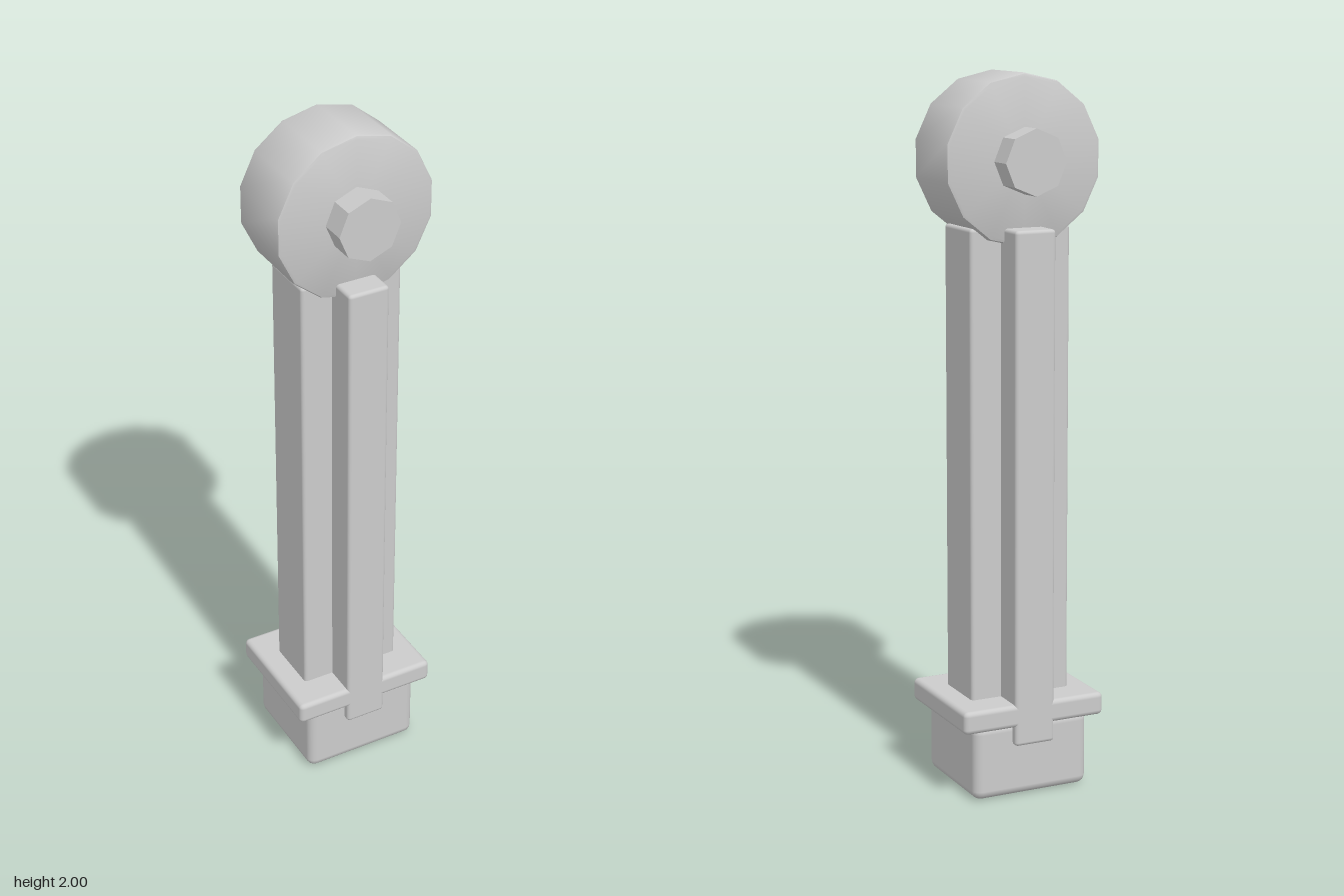
import * as THREE from 'three';
import { RoundedBoxGeometry } from 'three/addons/geometries/RoundedBoxGeometry.js';
import { toCreasedNormals } from 'three/addons/utils/BufferGeometryUtils.js';

export function createModel() {
  const model = new THREE.Group();
  model.name = 'barWithRoundHead';
  const smooth = new THREE.MeshStandardMaterial({ color: 0xcccccc });
  const faceted = new THREE.MeshStandardMaterial({ color: 0xcccccc, flatShading: true });

  const add = (name, geometry, material, y) => {
    const mesh = new THREE.Mesh(geometry, material);
    mesh.name = name;
    mesh.position.y = y;
    model.add(mesh);
    return mesh;
  };

  // Rounded block given by its width, bottom, top, depth and edge radius
  const block = (name, width, bottom, top, depth, radius) =>
    add(name, new RoundedBoxGeometry(width, top - bottom, depth, 2, radius), smooth, (bottom + top) / 2);

  block('baseBlock', 0.35, 0, 0.215, 0.32, 0.025);
  block('guardPlate', 0.43, 0.205, 0.27, 0.36, 0.014);
  block('mainBar', 0.3, 0.2, 1.588, 0.17, 0.01);
  block('crossRib', 0.12, 0.15, 1.588, 0.36, 0.01);

  // Fourteen-sided head disc with softened rims
  const headY = 1.767, radius = 0.233, half = 0.108, bevel = 0.01;
  const profile = [
    [0, -half], [radius - bevel, -half], [radius - bevel * 0.3, -half + bevel * 0.3], [radius, -half + bevel],
    [radius, half - bevel], [radius - bevel * 0.3, half - bevel * 0.3], [radius - bevel, half], [0, half],
  ].map(([r, h]) => new THREE.Vector2(r, h));
  const disc = toCreasedNormals(new THREE.LatheGeometry(profile, 14), 0.6);
  add('headDisc', disc.rotateX(-Math.PI / 2), smooth, headY);

  // Octagonal pin through the head
  const pin = new THREE.CylinderGeometry(0.09, 0.09, 0.36, 8);
  add('headPin', pin.rotateX(-Math.PI / 2), faceted, headY);

  return model;
}
